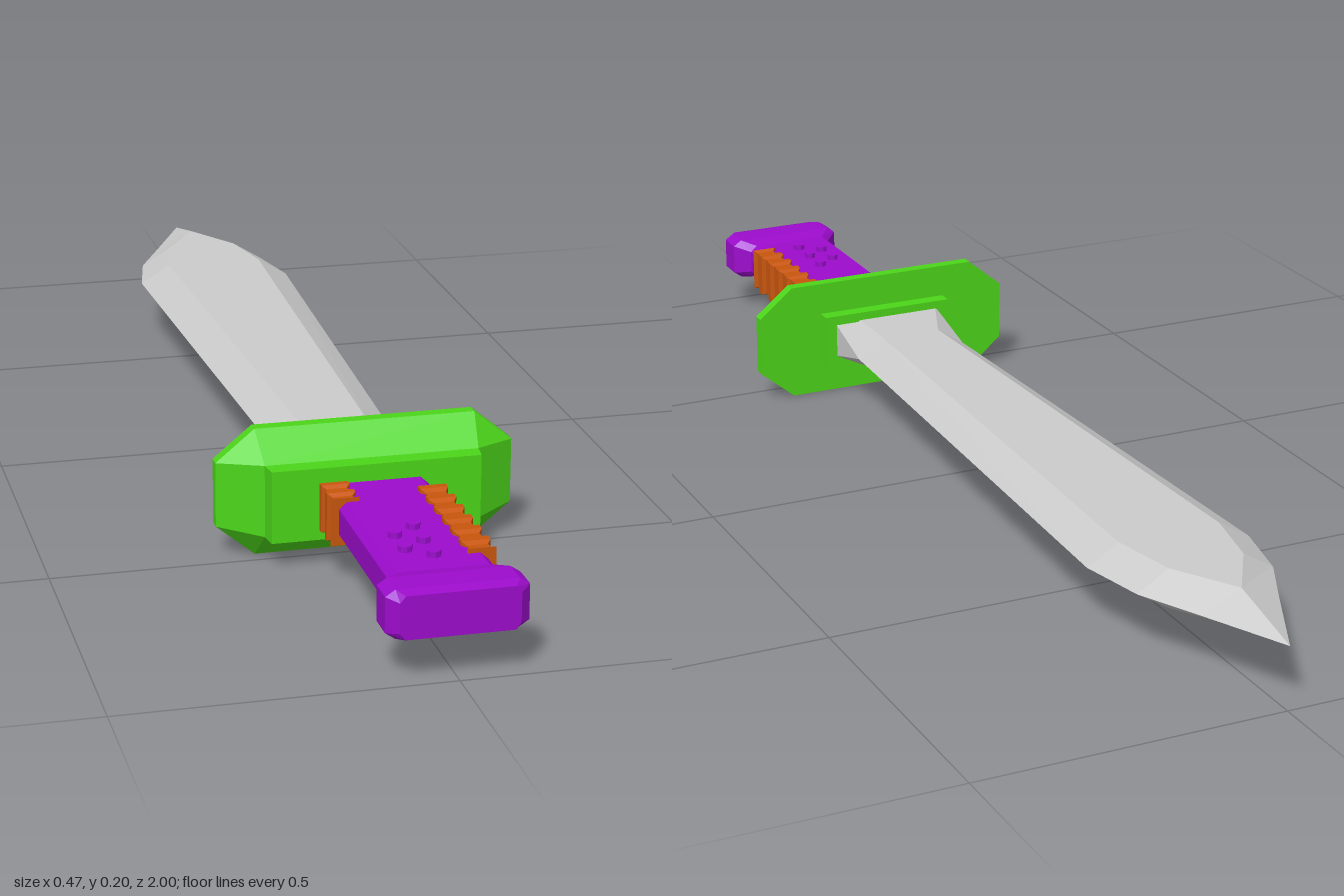
import * as THREE from 'three';

const CY = 0.1025; // height of the sword's centre line

const paint = (color) => new THREE.MeshStandardMaterial({ color, flatShading: true });

// Eight-cornered ring, counter-clockwise from +z: (ox, iy) are the side corners, (ix, oy) the top ones.
function ring(z, ox, oy, ix, iy, cx = 0) {
  return [[ox, -iy], [ox, iy], [ix, oy], [-ix, oy], [-ox, iy], [-ox, -iy], [-ix, -oy], [ix, -oy]]
    .map(([x, y]) => new THREE.Vector3(x + cx, y + CY, z));
}

// Skin a list of rings running towards +z and cap both ends.
function loft(rings) {
  const pos = [];
  const tri = (a, b, c) => {
    if (a.distanceTo(b) > 1e-6 && b.distanceTo(c) > 1e-6 && c.distanceTo(a) > 1e-6) {
      for (const p of [a, b, c]) pos.push(p.x, p.y, p.z);
    }
  };
  const n = rings[0].length;
  for (let r = 0; r < rings.length - 1; r++) {
    const a = rings[r], b = rings[r + 1];
    for (let i = 0; i < n; i++) {
      const j = (i + 1) % n;
      tri(a[i], a[j], b[j]);
      tri(a[i], b[j], b[i]);
    }
  }
  const first = rings[0], last = rings[rings.length - 1];
  for (let i = 1; i < n - 1; i++) {
    tri(first[0], first[i + 1], first[i]);
    tri(last[0], last[i], last[i + 1]);
  }
  const geo = new THREE.BufferGeometry();
  geo.setAttribute('position', new THREE.Float32BufferAttribute(pos, 3));
  geo.computeVertexNormals();
  return geo;
}

export function createModel() {
  const sword = new THREE.Group();
  sword.name = 'sword';
  const steel = paint(0xcccccc), green = paint(0x4cd61a), purple = paint(0x9c0ccc), orange = paint(0xc8560e);

  const add = (name, geo, mat, parent = sword) => {
    const mesh = new THREE.Mesh(geo, mat);
    mesh.name = name;
    parent.add(mesh);
    return mesh;
  };

  // Blade: bevelled edges, flat faces, squared off at the root
  const h = 0.032;
  add('blade', loft([
    ring(-1, 0, 0, 0, 0),
    ring(-0.86, 0.065, h, 0, 0),
    ring(-0.755, 0.115, h, 0.063, 0),
    ring(-0.64, 0.139, h, 0.086, 0),
    ring(0.325, 0.101, h, 0.053, 0),
    ring(0.44, 0.099, h, 0.053, h),
  ]), steel);

  // Guard: collar behind, octagonal plate sloping to a block in front
  const guard = new THREE.Group();
  guard.name = 'guard';
  sword.add(guard);
  add('guardCollar', loft([ring(0.43, 0.12, 0.046, 0.12, 0.046), ring(0.46, 0.12, 0.046, 0.12, 0.046)]), green, guard);
  add('guardPlate', loft([
    ring(0.455, 0.236, 0.1025, 0.175, 0.052),
    ring(0.475, 0.236, 0.1025, 0.175, 0.052),
    ring(0.52, 0.169, 0.058, 0.169, 0.058),
    ring(0.55, 0.165, 0.058, 0.165, 0.058),
  ]), green, guard);

  // Grip and flared pommel
  add('grip', loft([ring(0.54, 0.08, 0.031, 0.068, 0.02), ring(0.925, 0.08, 0.031, 0.068, 0.02)]), purple);
  add('pommel', loft([
    ring(0.91, 0.08, 0.031, 0.068, 0.02),
    ring(0.937, 0.105, 0.037, 0.09, 0.027),
    ring(0.982, 0.105, 0.037, 0.09, 0.027),
    ring(1, 0.088, 0.033, 0.08, 0.023),
  ]), purple);

  // Studs on both flat faces of the grip
  const studs = new THREE.Group();
  studs.name = 'gripStuds';
  sword.add(studs);
  for (const [x, z] of [[0, 0.75], [0, 0.805], [0, 0.86], [-0.035, 0.777], [-0.035, 0.832]]) {
    const stud = add('gripStud', new THREE.CylinderGeometry(0.011, 0.011, 0.08, 8), purple, studs);
    stud.position.set(x, CY, z);
  }

  // Ribbed pads: a long one on the left side, a short one on the right by the guard
  const pad = (name, cx, z0, z1, count) => {
    const step = (z1 - z0) / count, rings = [];
    const low = (z) => ring(z, 0.016, 0.034, 0.016, 0.034, cx);
    const high = (z) => ring(z, 0.022, 0.038, 0.022, 0.038, cx);
    for (let i = 0; i < count; i++) {
      const z = z0 + i * step;
      rings.push(high(z), high(z + step * 0.3), low(z + step * 0.5), low(z + step * 0.85));
    }
    rings.push(high(z1));
    add(name, loft(rings), orange);
  };
  pad('leftGripPad', 0.07, 0.605, 0.865, 6);
  pad('rightGripPad', -0.071, 0.56, 0.628, 2);

  return sword;
}
